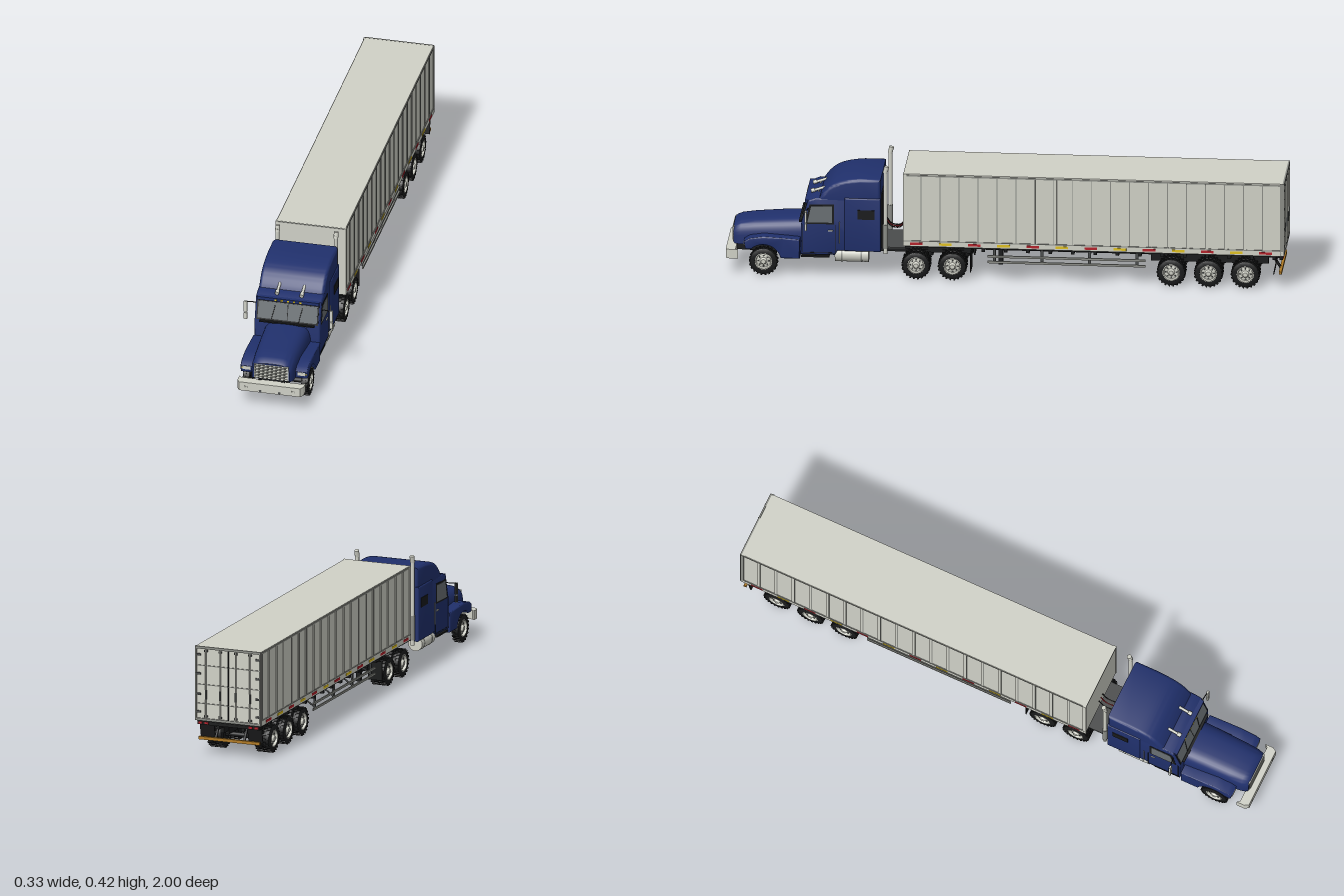
import * as THREE from 'three';
import { toCreasedNormals, mergeGeometries } from 'three/addons/utils/BufferGeometryUtils.js';

const mat = (name, color, side = THREE.FrontSide) => {
  const m = new THREE.MeshStandardMaterial({ color, side });
  m.name = name;
  return m;
};
const navy = mat('navy paint', 0x20306c), light = mat('light grey', 0xd0d1c7), seam = mat('seam grey', 0x8b8d87),
  dark = mat('dark grey', 0x4a4c4c), black = mat('black', 0x191a1b), glass = mat('glass', 0x6a7073),
  red = mat('red', 0xb3202a), yellow = mat('yellow', 0xe0c020), ochre = mat('ochre', 0xb07a24);

export function createModel() {
  const root = new THREE.Group();
  root.name = 'truckAndTrailer';
  const add = (name, geo, m, parent = root) => {
    const mesh = new THREE.Mesh(geo, m);
    mesh.name = name;
    parent.add(mesh);
    return mesh;
  };
  const box = (name, m, w, h, d, x, y, z, parent = root) => {
    const b = add(name, new THREE.BoxGeometry(w, h, d), m, parent);
    b.position.set(x, y, z);
    return b;
  };
  const rod = (name, m, r, a, b, seg = 12, parent = root) => {
    const p = new THREE.Vector3(...a), q = new THREE.Vector3(...b);
    const c = add(name, new THREE.CylinderGeometry(r, r, p.distanceTo(q), seg), m, parent);
    c.position.copy(p).lerp(q, 0.5);
    c.quaternion.setFromUnitVectors(new THREE.Vector3(0, 1, 0), q.sub(p).normalize());
    return c;
  };
  const sides = fn => [1, -1].forEach(fn);
  const poly = pts => new THREE.Shape(pts.map(p => new THREE.Vector2(...p)));
  // extrude a (z, y) side profile between two x positions
  const sideExtrude = (shape, x0, x1, bevel = 0) => {
    const g = new THREE.ExtrudeGeometry(shape, { depth: x1 - x0 - 2 * bevel, bevelEnabled: bevel > 0,
      bevelSize: bevel, bevelThickness: bevel, bevelOffset: -bevel, bevelSegments: 3, curveSegments: 16 });
    g.rotateY(-Math.PI / 2).translate(x1 - bevel, 0, 0);
    return toCreasedNormals(g, 0.6);
  };
  // arched cross-sections [z, halfWidth, top, bottom] joined along z
  const loft = rings => {
    const n = 20, pos = [], idx = [];
    for (const [z, w, t, b] of rings) for (let j = 0; j <= n; j++) {
      const a = Math.PI * j / n, c = Math.cos(a), s = Math.max(0, Math.sin(a));
      pos.push(w * Math.sign(c) * Math.abs(c) ** 0.55, b + (t - b) * s ** 0.5, z);
    }
    for (let i = 0; i < rings.length - 1; i++) for (let j = 0; j < n; j++) {
      const a = i * (n + 1) + j, c = a + n + 1;
      idx.push(a, a + 1, c, a + 1, c + 1, c);
    }
    const last = (rings.length - 1) * (n + 1);
    for (let j = 1; j < n; j++) idx.push(last, last + j, last + j + 1);
    const g = new THREE.BufferGeometry();
    g.setAttribute('position', new THREE.Float32BufferAttribute(pos, 3));
    g.setIndex(idx);
    g.computeVertexNormals();
    return toCreasedNormals(g, 0.7);
  };

  // --- wheels ---
  const R = 0.052, H = 0.0135;
  const lathe = (pts, seg = 28) => toCreasedNormals(
    new THREE.LatheGeometry(pts.map(p => new THREE.Vector2(...p)), seg).rotateZ(-Math.PI / 2), 0.6);
  const tyreGeo = lathe([[0.031, -H], [0.043, -H], [0.048, -H * 0.8], [0.0495, 0], [0.048, H * 0.8], [0.043, H], [0.031, H], [0.029, H - 0.01]]);
  const rimGeo = lathe([[0.032, H - 0.001], [0.028, H], [0.025, H - 0.009], [0.013, H - 0.007], [0.011, H - 0.001], [0.008, H + 0.002], [0, H + 0.002]]);
  const lugs = [];
  for (let i = 0; i < 44; i++) lugs.push(new THREE.BoxGeometry(H * 0.9, 0.005, 0.0055)
    .translate(i % 2 ? H * 0.47 : -H * 0.47, R - 0.0025, 0).rotateX(i * Math.PI / 22));
  const lugGeo = mergeGeometries(lugs);
  const coreGeo = new THREE.CylinderGeometry(0.032, 0.032, 0.012, 24).rotateZ(Math.PI / 2).translate(-0.005, 0, 0);
  const holes = [];
  for (let i = 0; i < 8; i++) holes.push(new THREE.CylinderGeometry(0.0032, 0.0032, 0.003, 8)
    .rotateZ(Math.PI / 2).translate(H - 0.0075, 0.0195, 0).rotateX(i * Math.PI / 4));
  const holeGeo = mergeGeometries(holes);
  const wheel = (name, x, z, rim) => {
    const g = new THREE.Group();
    g.name = name;
    add('tyre', tyreGeo, black, g);
    add('treadLugs', lugGeo, black, g);
    add('wheelCore', coreGeo, black, g);
    if (rim) { add('rim', rimGeo, light, g); add('rimHoles', holeGeo, dark, g); }
    g.position.set(x, R, z);
    if (x < 0) g.rotation.y = Math.PI;
    root.add(g);
  };
  [0.865, 0.32, 0.19, -0.592, -0.725, -0.857].forEach((z, i) => {
    rod('axle', black, 0.009, [-0.1, R, z], [0.1, R, z]);
    if (i < 3) add('differential', new THREE.SphereGeometry(0.02, 16, 10), black).position.set(0, R, z);
    sides(s => {
      wheel('outerWheel', s * 0.107, z, true);
      if (i) wheel('innerWheel', s * 0.077, z, false);
      box('suspension', black, 0.012, 0.03, 0.08, s * 0.045, 0.075, z);
    });
  });

  // --- tractor frame, tanks and deck ---
  sides(s => {
    box('tractorRail', black, 0.014, 0.026, 0.84, s * 0.042, 0.092, 0.54);
    rod('fuelTank', light, 0.027, [s * 0.092, 0.08, 0.49], [s * 0.092, 0.08, 0.61], 24);
    [0.515, 0.585].forEach(z => rod('tankStrap', seam, 0.0278, [s * 0.092, 0.08, z - 0.003], [s * 0.092, 0.08, z + 0.003], 24));
    box('driveMudflap', black, 0.055, 0.07, 0.004, s * 0.093, 0.068, 0.125);
    box('step', black, 0.03, 0.006, 0.1, s * 0.102, 0.075, 0.68);
    rod('exhaustStack', light, 0.0075, [s * 0.107, 0.09, 0.43], [s * 0.107, 0.408, 0.43], 16);
    rod('stackTip', light, 0.0085, [s * 0.107, 0.395, 0.431], [s * 0.107, 0.419, 0.425], 16);
    rod('heatShield', seam, 0.0095, [s * 0.107, 0.11, 0.43], [s * 0.107, 0.2, 0.43], 16);
  });
  for (let i = 0; i < 5; i++) box('tractorCrossMember', black, 0.08, 0.018, 0.015, 0, 0.09, 0.14 + i * 0.18);
  box('rearDeck', dark, 0.19, 0.006, 0.08, 0, 0.107, 0.4);
  box('engine', black, 0.08, 0.07, 0.2, 0, 0.1, 0.82);
  rod('fifthWheel', dark, 0.05, [0, 0.104, 0.25], [0, 0.12, 0.25], 24);
  [-0.015, 0, 0.015].forEach((x, i) => add('airHose', new THREE.TubeGeometry(new THREE.CatmullRomCurve3([
    new THREE.Vector3(x, 0.21, 0.445), new THREE.Vector3(x, 0.165, 0.42), new THREE.Vector3(x, 0.16, 0.385),
    new THREE.Vector3(x, 0.19, 0.362)]), 16, 0.0022, 6), i === 1 ? red : black));

  // --- cab and sleeper ---
  add('cab', sideExtrude(poly([[0.5, 0.1], [0.6, 0.1], [0.61, 0.083], [0.732, 0.083], [0.73, 0.2], [0.706, 0.285], [0.68, 0.296], [0.5, 0.296]]), -0.12, 0.12, 0.005), navy);
  add('sleeper', sideExtrude(poly([[0.446, 0.1], [0.575, 0.1], [0.575, 0.3], [0.446, 0.3]]), -0.124, 0.124, 0.005), navy);
  const roof = new THREE.Shape();
  roof.moveTo(0.446, 0.27);
  roof.lineTo(0.67, 0.285);
  roof.lineTo(0.662, 0.302);
  roof.bezierCurveTo(0.63, 0.35, 0.6, 0.364, 0.52, 0.371);
  roof.lineTo(0.446, 0.371);
  roof.closePath();
  add('roofFairing', sideExtrude(roof, -0.12, 0.12, 0.012), navy);
  box('cabBackPanel', black, 0.2, 0.2, 0.004, 0, 0.21, 0.444);
  box('sunVisor', navy, 0.226, 0.012, 0.02, 0, 0.281, 0.707);
  for (let i = -2; i <= 2; i++) box('markerLamp', yellow, 0.008, 0.005, 0.006, i * 0.0225, 0.281, 0.716);

  // windscreen with centre bar and wipers
  const screen = new THREE.Group();
  screen.name = 'windscreen';
  screen.position.set(0, 0.238, 0.7195);
  screen.rotation.x = -0.275;
  root.add(screen);
  box('windscreenFrame', black, 0.226, 0.073, 0.004, 0, 0, 0, screen);
  sides(s => {
    box('windscreenPane', glass, 0.107, 0.063, 0.004, s * 0.0548, 0.001, 0.001, screen);
    rod('wiper', black, 0.0012, [s * 0.05 - 0.008, -0.033, 0.004], [s * 0.05 + 0.006 * 0.5, 0.02, 0.004], 6, screen);
  });
  box('cowl', black, 0.2, 0.005, 0.014, 0, 0.2, 0.733);

  sides(s => {
    // side windows and door seams
    const plate = (name, pts, m, t) => add(name, sideExtrude(poly(pts), s > 0 ? 0.118 : -0.118 - t, s > 0 ? 0.118 + t : -0.118), m);
    plate('doorWindowFrame', [[0.612, 0.2], [0.717, 0.198], [0.7, 0.272], [0.612, 0.274]], black, 0.003);
    plate('doorWindow', [[0.62, 0.206], [0.708, 0.204], [0.694, 0.266], [0.62, 0.268]], glass, 0.004);
    plate('sleeperWindow', [[0.468, 0.222], [0.528, 0.222], [0.528, 0.257], [0.468, 0.257]], black, 0.008);
    [0.606, 0.724].forEach(z => box('doorSeam', black, 0.002, 0.108, 0.002, s * 0.12, 0.144, z));
    box('doorSeam', black, 0.002, 0.002, 0.118, s * 0.12, 0.091, 0.665);
    box('doorHandle', light, 0.004, 0.005, 0.016, s * 0.121, 0.175, 0.625);
    rod('grabHandle', light, 0.002, [s * 0.126, 0.13, 0.592], [s * 0.126, 0.21, 0.592], 8);
    // mirrors
    rod('mirrorArm', black, 0.0018, [s * 0.115, 0.257, 0.705], [s * 0.163, 0.257, 0.71], 6);
    rod('mirrorArm', black, 0.0015, [s * 0.157, 0.187, 0.707], [s * 0.157, 0.258, 0.707], 6);
    [[0.043, 0.238], [0.025, 0.2]].forEach(([h, y]) => {
      box('mirrorShell', light, 0.012, h, 0.006, s * 0.157, y, 0.711);
      box('mirrorGlass', black, 0.011, h - 0.003, 0.002, s * 0.157, y, 0.7075);
    });
    // air horns
    rod('airHorn', light, 0.005, [s * 0.045, 0.314, 0.65], [s * 0.045, 0.3, 0.69], 12);
    rod('hornBell', light, 0.0075, [s * 0.045, 0.302, 0.686], [s * 0.045, 0.298, 0.7], 12);
    rod('hornFoot', light, 0.003, [s * 0.045, 0.285, 0.675], [s * 0.045, 0.307, 0.672], 8);
    // fenders with wheel arch
    const f = poly([[0.93, 0.098], [0.935, 0.125], [0.915, 0.138], [0.865, 0.146], [0.79, 0.142], [0.735, 0.138], [0.735, 0.066], [0.802, 0.066]]);
    f.absarc(0.865, 0.052, 0.063, Math.PI * 0.93, Math.PI * 0.26, true);
    add('fender', sideExtrude(f, s > 0 ? 0.06 : -0.123, s > 0 ? 0.123 : -0.06, 0.004), navy);
    box('headlight', light, 0.028, 0.013, 0.008, s * 0.1, 0.117, 0.932);
    box('turnLamp', yellow, 0.004, 0.008, 0.006, s * 0.117, 0.117, 0.931);
    box('bumperBracket', black, 0.014, 0.025, 0.07, s * 0.042, 0.083, 0.935);
  });

  // --- hood, grille and bumper ---
  add('hood', loft([[0.72, 0.087, 0.201, 0.1], [0.8, 0.085, 0.197, 0.1], [0.9, 0.081, 0.189, 0.1], [0.95, 0.078, 0.182, 0.1],
    [0.968, 0.074, 0.175, 0.101], [0.976, 0.068, 0.168, 0.104]]), navy);
  box('grilleFrame', light, 0.126, 0.056, 0.004, 0, 0.134, 0.976);
  box('grilleBack', black, 0.12, 0.05, 0.004, 0, 0.134, 0.977);
  for (let i = 0; i < 8; i++) box('grilleBar', light, 0.12, 0.0032, 0.004, 0, 0.1125 + i * 0.0062, 0.9785);
  const plan = poly([[-0.121, -0.955], [-0.121, -0.985], [-0.112, -1], [0.112, -1], [0.121, -0.985], [0.121, -0.955], [0.112, -0.965], [-0.112, -0.965]]);
  add('frontBumper', new THREE.ExtrudeGeometry(plan, { depth: 0.034, bevelEnabled: false }).rotateX(-Math.PI / 2)
    .scale(1, 1, 1).translate(0, 0.06, 0), light);
  sides(s => {
    rod('towHole', dark, 0.005, [s * 0.035, 0.066, 0.99], [s * 0.035, 0.066, 1], 12).scale.y = 1.02;
    box('bumperLampRim', seam, 0.013, 0.007, 0.002, s * 0.085, 0.077, 0.9995);
    box('bumperLamp', light, 0.01, 0.004, 0.003, s * 0.085, 0.077, 0.9995);
  });

  // --- trailer body ---
  const zF = 0.363, zB = -0.992, L = zF - zB, zc = (zF + zB) / 2;
  box('trailerBody', light, 0.252, 0.272, L, 0, 0.264, zc);
  sides(s => {
    box('topRail', seam, 0.003, 0.006, L, s * 0.1265, 0.394, zc);
    box('bottomRail', light, 0.004, 0.018, L, s * 0.127, 0.137, zc);
    box('bottomRailEdge', seam, 0.0045, 0.003, L, s * 0.127, 0.1475, zc);
    box('frontCorner', light, 0.006, 0.27, 0.012, s * 0.126, 0.265, zF - 0.004);
    box('rearCorner', seam, 0.006, 0.27, 0.012, s * 0.126, 0.265, zB + 0.004);
    for (let i = 1; i < 20; i++) {
      box('sidePost', light, 0.003, 0.242, 0.01, s * 0.1262, 0.27, zF - i * L / 20);
      box('sideSeam', seam, 0.003, 0.242, 0.003, s * 0.1268, 0.27, zF - i * L / 20 + 0.0055);
    }
    for (let i = 0; i < 13; i++) box('reflector', i % 2 ? yellow : red, 0.003, 0.009, 0.045, s * 0.1285, 0.138, 0.318 - i * 0.104);
  });
  box('frontTopRail', seam, 0.25, 0.004, 0.003, 0, 0.397, zF);

  // rear doors
  const zd = zB - 0.002;
  [0.132, 0.396].forEach(y => box('doorFrame', seam, 0.254, 0.009, 0.006, 0, y, zd));
  box('doorGap', black, 0.004, 0.26, 0.004, 0, 0.264, zd);
  [0.19, 0.26, 0.33].forEach(y => box('doorPanelSeam', seam, 0.244, 0.003, 0.003, 0, y, zd));
  sides(s => {
    box('doorSideFrame', seam, 0.006, 0.264, 0.006, s * 0.124, 0.264, zd);
    [0.03, 0.085].forEach(x => {
      rod('lockRod', light, 0.0028, [s * x, 0.136, zd - 0.003], [s * x, 0.392, zd - 0.003], 8);
      box('rodHandle', dark, 0.006, 0.035, 0.004, s * x, 0.225, zd - 0.004);
      [0.145, 0.385].forEach(y => box('rodBracket', dark, 0.012, 0.007, 0.005, s * x, y, zd - 0.002));
    });
    [0.16, 0.225, 0.3, 0.37].forEach(y => box('hinge', dark, 0.018, 0.007, 0.005, s * 0.115, y, zd - 0.001));
  });

  // --- trailer chassis ---
  box('trailerFloor', black, 0.246, 0.006, L - 0.01, 0, 0.126, zc);
  sides(s => {
    box('chassisBeam', black, 0.012, 0.028, 1.05, s * 0.048, 0.11, -0.45);
    box('bogieBeam', black, 0.014, 0.03, 0.42, s * 0.048, 0.088, -0.725);
    // side guards
    [0.094, 0.073].forEach(y => box('sideGuardRail', seam, 0.005, 0.008, 0.565, s * 0.118, y, -0.218));
    [0.04, -0.13, -0.3, -0.47].forEach(z => {
      box('guardPost', dark, 0.006, 0.058, 0.01, s * 0.112, 0.098, z);
      rod('guardStrut', dark, 0.003, [s * 0.112, 0.075, z], [s * 0.05, 0.118, z], 6);
    });
    box('landingLeg', black, 0.016, 0.075, 0.016, s * 0.075, 0.09, 0.02);
    const flap = box('rearMudflap', black, 0.056, 0.07, 0.004, s * 0.092, 0.09, -0.965);
    flap.rotation.x = -0.2;
    rod('rearBumperArm', black, 0.005, [s * 0.055, 0.122, -0.94], [s * 0.055, 0.062, -0.978], 8);
    [0.085, 0.108].forEach(x => box('tailLamp', red, 0.014, 0.007, 0.004, s * x, 0.119, -0.992));
  });
  for (let i = 0; i < 14; i++) box('crossMember', black, 0.236, 0.014, 0.012, 0, 0.117, 0.08 - i * 0.08);
  box('rearSill', black, 0.24, 0.012, 0.012, 0, 0.118, -0.985);
  box('rearBumperBar', ochre, 0.236, 0.011, 0.01, 0, 0.061, -0.982);
  return root;
}
